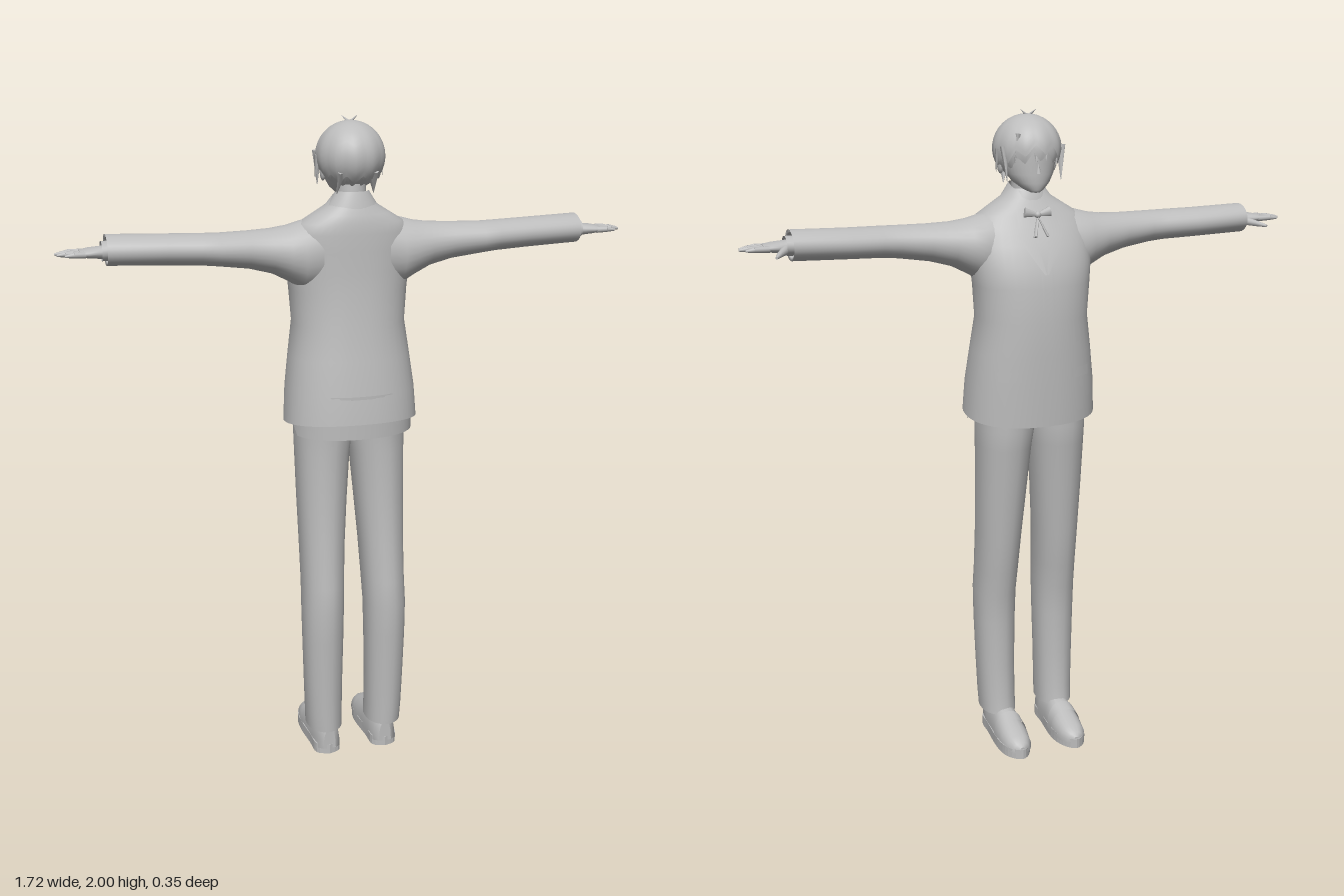
import * as THREE from 'three';

const grey = new THREE.MeshStandardMaterial({ color: 0xbcbcbc, side: THREE.DoubleSide });
grey.name = 'plain grey';

const V = (x, y, z) => new THREE.Vector3(x, y, z);
const pow = (v, p) => Math.sign(v) * Math.abs(v) ** (2 / p);

function mesh(name, geo, parent) {
  const m = new THREE.Mesh(geo, grey);
  m.name = name;
  parent.add(m);
  return m;
}

// Skin through a list of rings (or open strips) of points
function loft(rings, { closed = true, capStart = false, capEnd = false } = {}) {
  const n = rings[0].length, pos = [], idx = [];
  rings.forEach(r => r.forEach(p => pos.push(p.x, p.y, p.z)));
  for (let i = 0; i < rings.length - 1; i++)
    for (let j = 0; j < (closed ? n : n - 1); j++) {
      const a = i * n + j, c = i * n + (j + 1) % n;
      idx.push(a, a + n, c, c, a + n, c + n);
    }
  const cap = (r, flip) => {
    const base = pos.length / 3;
    const mid = r.reduce((s, p) => s.add(p), V(0, 0, 0)).divideScalar(n);
    [...r, mid].forEach(p => pos.push(p.x, p.y, p.z));
    for (let j = 0; j < n; j++) {
      const k = base + (j + 1) % n;
      idx.push(base + n, ...(flip ? [base + j, k] : [k, base + j]));
    }
  };
  if (capStart) cap(rings[0], true);
  if (capEnd) cap(rings[rings.length - 1], false);
  const g = new THREE.BufferGeometry();
  g.setAttribute('position', new THREE.Float32BufferAttribute(pos, 3));
  g.setIndex(idx);
  g.computeVertexNormals();
  return g;
}
const ring = (n, f) => Array.from({ length: n }, (_, i) => f(i / n * Math.PI * 2));

// Upright ring: centre x, half width, back z, front z, squareness
const level = (y, cx, w, zb, zf, p = 2.3, crease = 0) => ring(40, a => {
  const s = Math.sin(a), k = 1 + crease * Math.max(0, Math.abs(s) - 0.85) / 0.15;
  return V(cx + w * pow(Math.cos(a), p), y, (zb + zf) / 2 + (zb - zf) / 2 * pow(s, p) * k);
});

// Tapered rod between two points
function rod(name, a, b, r0, r1, parent, flat = 1, sides = 10) {
  const m = mesh(name, new THREE.CylinderGeometry(r1, r0, a.distanceTo(b), sides), parent);
  m.position.copy(a).add(b).multiplyScalar(0.5);
  m.quaternion.setFromUnitVectors(V(0, 1, 0), b.clone().sub(a).normalize());
  m.scale.z = flat;
  return m;
}

// Jacket levels: y, half width, back z, front z
const JACKET = [
  [1.105, 0.203, 0.172, -0.14], [1.2, 0.197, 0.163, -0.143], [1.3, 0.184, 0.147, -0.145],
  [1.4, 0.17, 0.132, -0.145], [1.5, 0.178, 0.122, -0.138], [1.56, 0.185, 0.118, -0.125],
  [1.62, 0.186, 0.116, -0.1], [1.67, 0.178, 0.114, -0.07], [1.7, 0.155, 0.111, -0.052],
  [1.725, 0.115, 0.105, -0.04], [1.75, 0.075, 0.095, -0.025], [1.775, 0.056, 0.085, -0.012]];

function frontZ(x, y) {
  let i = JACKET.findIndex(r => r[0] >= y);
  i = i < 0 ? JACKET.length - 1 : Math.max(1, i);
  const A = JACKET[i - 1], B = JACKET[i], t = (y - A[0]) / (B[0] - A[0]);
  const [w, zb, zf] = [1, 2, 3].map(k => A[k] + (B[k] - A[k]) * t);
  const c = Math.max(0, 1 - Math.abs(x / w) ** 2.3) ** (1 / 2.3);
  return (zb + zf) / 2 - (zb - zf) / 2 * c;
}

// Thin cloth panel lying on the jacket front; rows are [y, x0, x1]
const panel = (name, rows, parent, lift = 0.004) => mesh(name, loft(rows.map(([y, a, b]) =>
  Array.from({ length: 6 }, (_, i) => {
    const x = a + (b - a) * i / 5;
    return V(x, y, frontZ(x, y) - lift);
  })), { closed: false }), parent);

function makeJacket(root) {
  const g = new THREE.Group();
  g.name = 'jacket';
  root.add(g);
  const hem = z => (0.11 * z + 0.002);
  const rings = JACKET.map(([y, w, b, f], i) => level(y, 0, w, b, f)
    .map(p => (i === 0 ? p.setY(y + hem(p.z) - 0.01) : p)));
  mesh('jacketBody', loft(rings), g);
  // Shirt tail below the hem
  mesh('shirtTail', loft([1.068, 1.2].map((y, i) => level(y, 0, 0.187, 0.164, -0.125)
    .map(p => (i ? p : p.setY(y + (p.z < 0.06 ? 0.03 : 0)))))), g);
  // Standing collar, lower and open at the throat
  mesh('collar', loft([[1.735, 0.086, 0.1, -0.04], [1.765, 0.066, 0.092, -0.032], [1.79, 0.05, 0.083, -0.02]]
    .map(([y, w, b, f]) => level(y, 0, w, b, f).map(p => p.setY(p.y - Math.max(0, 0.05 - p.z) * 0.35)))), g);
  // Front closing and lapels
  panel('frontEdge', [1.1, 1.2, 1.3, 1.4, 1.5, 1.56, 1.62, 1.66].map(y => [y, -0.022, 0.016]), g);
  for (const s of [-1, 1]) {
    panel('lapel', [[1.54, 0, 0.006], [1.6, 0.012, 0.045], [1.65, 0.022, 0.07], [1.68, 0.028, 0.062],
      [1.72, 0.03, 0.06]].map(([y, a, b]) => [y, s * a, s * b]), g, 0.007);
    panel('pocketFlap', [[1.225, 0.08, 0.145], [1.255, 0.08, 0.145]].map(([y, a, b]) => [y, s * a, s * b]), g);
    // Neck ribbon
    const bow = rod('bowLoop', V(0, 1.705, -0.062), V(s * 0.04, 1.713, -0.058), 0.005, 0.015, g, 0.6);
    bow.name = 'bowLoop';
    rod('bowTail', V(0, 1.7, -0.063), V(s * 0.02, 1.645, -0.094), 0.004, 0.008, g, 0.5);
  }
  const knot = mesh('bowKnot', new THREE.SphereGeometry(0.01, 12, 8), g);
  knot.position.set(0, 1.705, -0.063);
}

function makeArm(root, side) {
  const g = new THREE.Group();
  g.name = side > 0 ? 'leftArm' : 'rightArm';
  g.scale.x = side;
  root.add(g);
  // Sleeve: x, bottom y, top y, front z, back z
  const S = [[0.1, 1.5, 1.715, -0.06, 0.105], [0.15, 1.505, 1.705, -0.07, 0.108], [0.19, 1.53, 1.694, -0.062, 0.105],
    [0.24, 1.556, 1.687, -0.05, 0.096], [0.31, 1.575, 1.684, -0.035, 0.092], [0.4, 1.588, 1.683, -0.025, 0.1],
    [0.45, 1.593, 1.684, -0.026, 0.097], [0.55, 1.597, 1.686, -0.033, 0.087], [0.715, 1.603, 1.691, -0.038, 0.08],
    [0.712, 1.612, 1.682, -0.028, 0.07], [0.66, 1.615, 1.68, -0.025, 0.066]];
  mesh('sleeve', loft(S.map(([x, b, t, f, k]) => ring(28, a =>
    V(x, (b + t) / 2 + (t - b) / 2 * Math.cos(a), (f + k) / 2 - (k - f) / 2 * Math.sin(a)))), { capEnd: true }), g);
  // Shirt cuff, palm and fingers
  const P = [[0.65, 0.022, 0.03], [0.71, 0.019, 0.026], [0.735, 0.017, 0.031], [0.765, 0.014, 0.037], [0.79, 0.009, 0.034]];
  mesh('shirtCuff', loft([0.68, 0.728].map(x => ring(24, a =>
    V(x, 1.645 + 0.028 * Math.cos(a), 0.026 - 0.037 * Math.sin(a))))), g);
  mesh('palm', loft(P.map(([x, h, w]) => ring(20, a =>
    V(x, 1.643 + h * Math.cos(a), 0.032 - w * pow(Math.sin(a), 2.5)))), { capEnd: true }), g);
  [[0.006, 0.0, 0.843], [0.024, 0.022, 0.858], [0.041, 0.045, 0.853], [0.058, 0.067, 0.832]].forEach(([z0, z1, x]) => {
    rod('finger', V(0.775, 1.642, z0), V(x - 0.025, 1.643, (z0 + z1 * 2) / 3), 0.0095, 0.008, g);
    rod('fingerTip', V(x - 0.025, 1.643, (z0 + z1 * 2) / 3), V(x, 1.641, z1), 0.008, 0.003, g);
  });
  rod('thumb', V(0.725, 1.638, 0.015), V(0.753, 1.632, -0.03), 0.014, 0.009, g);
  rod('thumbTip', V(0.753, 1.632, -0.03), V(0.77, 1.628, -0.062), 0.009, 0.004, g);
}

function makeLeg(root, side) {
  const g = new THREE.Group();
  g.name = side > 0 ? 'leftLeg' : 'rightLeg';
  g.scale.x = side;
  root.add(g);
  // Trouser: y, inner x, outer x, back z, front z
  const T = [[0.085, 0.042, 0.153, 0.125, -0.026], [0.14, 0.042, 0.156, 0.127, -0.018], [0.25, 0.041, 0.16, 0.13, -0.013],
    [0.4, 0.038, 0.164, 0.137, -0.014], [0.5, 0.036, 0.165, 0.141, -0.022], [0.58, 0.033, 0.163, 0.135, -0.038],
    [0.7, 0.027, 0.164, 0.121, -0.055], [0.85, 0.016, 0.167, 0.11, -0.073], [1.0, 0.004, 0.169, 0.106, -0.092],
    [1.06, -0.004, 0.17, 0.108, -0.1], [1.2, -0.005, 0.165, 0.112, -0.1]];
  mesh('trouserLeg', loft(T.map(([y, i, o, b, f]) =>
    level(y, (i + o) / 2, (o - i) / 2, b, f, 2.3, 0.05)), { capEnd: true }), g);
  // Shoe upper: z, half width, top y
  const U = [[0.112, 0.02, 0.085], [0.1, 0.036, 0.105], [0.05, 0.043, 0.115], [-0.01, 0.045, 0.11], [-0.05, 0.048, 0.096],
    [-0.1, 0.049, 0.077], [-0.14, 0.042, 0.063], [-0.163, 0.028, 0.05], [-0.173, 0.01, 0.038]];
  mesh('shoeUpper', loft(U.map(([z, w, t]) => ring(24, a =>
    V(0.093 + w * pow(Math.cos(a), 2.4), 0.018 + Math.max(0, Math.sin(a)) ** 0.85 * (t - 0.018), z))),
  { capStart: true, capEnd: true }), g);
  mesh('shoeStrap', loft([[-0.045, 0.05, 0.101], [-0.08, 0.051, 0.088]].map(([z, w, t]) =>
    Array.from({ length: 17 }, (_, i) => {
      const a = i / 16 * Math.PI;
      return V(0.093 + w * pow(Math.cos(a), 2.4), 0.02 + Math.sin(a) ** 0.85 * (t - 0.018), z);
    })), { closed: false }), g);
  // Sole follows the foot outline
  const outline = new THREE.Shape(new THREE.SplineCurve([[0.093, -0.115], [0.132, -0.095], [0.137, -0.03], [0.144, 0.08],
    [0.132, 0.145], [0.093, 0.178], [0.058, 0.145], [0.043, 0.08], [0.051, -0.03], [0.055, -0.095], [0.093, -0.115]]
    .map(p => new THREE.Vector2(...p))).getPoints(40));
  const sole = mesh('shoeSole', new THREE.ExtrudeGeometry(outline, { depth: 0.032, bevelEnabled: false }), g);
  sole.rotation.x = -Math.PI / 2;
}

// Hair shell whose ragged lower edge hangs low at the nape and high over the brow
function hairShell(name, parent, grow, drop, locks, phase) {
  const rows = 12, n = 96;
  const rings = Array.from({ length: rows + 1 }, (_, i) => ring(n, a => {
    const front = (1 - Math.sin(a)) / 2;
    const saw = Math.abs(((a / (Math.PI * 2) * locks + phase) % 1) * 2 - 1);
    const end = 2.28 - 0.72 * front ** 2 + drop + 0.3 * saw;
    const t = 0.02 + (end - 0.02) * (1 - i / rows);
    const r = Math.sin(t) * (1 + grow + 0.03 * saw * (1 - i / rows));
    return V(0.097 * r * Math.cos(a), 1.888 + (0.097 + 0.1 * grow) * Math.cos(t), 0.025 + 0.107 * r * Math.sin(a));
  }));
  mesh(name, loft(rings, { capEnd: true }), parent);
}

function makeHead(root) {
  const g = new THREE.Group();
  g.name = 'head';
  root.add(g);
  rod('neck', V(0, 1.69, 0.04), V(0, 1.83, 0.03), 0.046, 0.042, g, 1, 24);
  // Skull and face: y, half width, back z, front z
  const F = [[1.768, 0.014, -0.02, -0.058], [1.776, 0.03, 0.01, -0.065], [1.795, 0.053, 0.05, -0.068], [1.82, 0.071, 0.088, -0.069],
    [1.85, 0.081, 0.11, -0.068], [1.88, 0.086, 0.119, -0.069], [1.92, 0.083, 0.113, -0.066], [1.96, 0.055, 0.08, -0.03]];
  mesh('face', loft(F.map(([y, w, b, f]) => level(y, 0, w, b, f, 2)), { capStart: true, capEnd: true }), g);
  const nose = mesh('nose', new THREE.ConeGeometry(0.008, 0.028, 8), g);
  nose.position.set(0, 1.838, -0.069);
  for (const s of [-1, 1]) {
    const ear = mesh('ear', new THREE.SphereGeometry(0.02, 12, 10), g);
    ear.scale.set(0.4, 1.2, 0.8);
    ear.position.set(s * 0.083, 1.842, 0.025);
    // Side locks and sprig on the crown
    rod('sideLock', V(s * 0.088, 1.9, -0.02), V(s * 0.084, 1.8, -0.035), 0.016, 0.001, g, 0.5, 6);
    rod('sideLock', V(s * 0.094, 1.89, 0.015), V(s * 0.102, 1.825, 0.01), 0.016, 0.001, g, 0.5, 6);
    rod('napeLock', V(s * 0.045, 1.85, 0.1), V(s * 0.055, 1.785, 0.075), 0.02, 0.001, g, 0.5, 6);
    rod('sprig', V(0, 1.98, 0.018), V(s * 0.024, 2.0, 0.012), 0.006, 0.0005, g, 0.6, 6);
  }
  hairShell('hairUnder', g, 0, 0.02, 13, 0.3);
  hairShell('hairOver', g, 0.025, -0.2, 11, 0);
  // Fringe
  [-0.06, -0.03, 0.005, 0.035, 0.062].forEach((x, i) =>
    rod('fringeLock', V(x * 0.85, 1.935, -0.06 + Math.abs(x) * 0.3), V(x + 0.006, 1.853 + 0.008 * (i % 2), -0.082 + Math.abs(x) * 0.45),
      0.018, 0.001, g, 0.5, 6));
}

export function createModel() {
  const root = new THREE.Group();
  root.name = 'standingFigure';
  makeJacket(root);
  for (const s of [1, -1]) {
    makeArm(root, s);
    makeLeg(root, s);
  }
  makeHead(root);
  return root;
}
